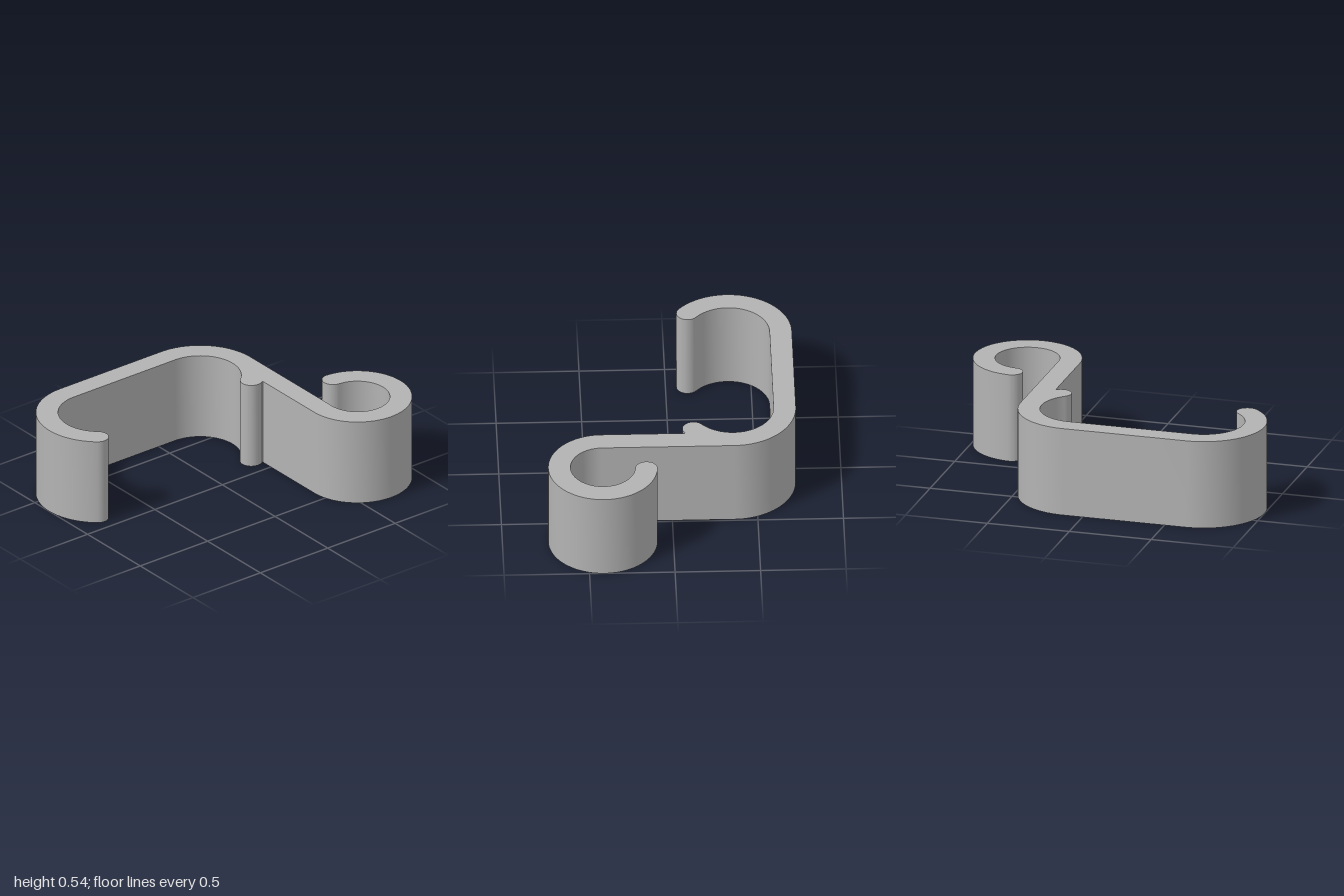
import * as THREE from 'three';
import { toCreasedNormals } from 'three/addons/utils/BufferGeometryUtils.js';

const HEIGHT = 0.535;
const WALL = 0.13;
const END = 50.3; // how far past horizontal the clip arms curl, in degrees
const TIP = 86; // where the hook stops, in degrees

// Corner centres and radii of the strip, in plan (second value points to the back)
const leftBend = { x: -0.63, y: 0.363, outer: 0.37 };
const rightBend = { x: 0.12, y: 0.363, outer: 0.37 };
const hook = { x: 0.68, y: -0.412, outer: 0.32 };

function clipOutline() {
  const points = [];
  const add = (x, y) => {
    const p = new THREE.Vector2(x, y);
    if (!points.length || points[points.length - 1].distanceTo(p) > 0.002) points.push(p);
  };
  const arc = (c, radius, from, to) => {
    const steps = Math.max(12, Math.ceil(Math.abs(to - from) / 4));
    for (let i = 0; i <= steps; i++) {
      const a = THREE.MathUtils.degToRad(from + ((to - from) * i) / steps);
      add(c.x + radius * Math.cos(a), c.y + radius * Math.sin(a));
    }
  };
  // Round end of the strip at a given angle of a bend
  const cap = (bend, angle, from, to) => {
    const a = THREE.MathUtils.degToRad(angle);
    const mid = bend.outer - WALL / 2;
    arc({ x: bend.x + mid * Math.cos(a), y: bend.y + mid * Math.sin(a) }, WALL / 2, from, to);
  };

  // Outer side of the clip, then down the long wall
  arc(leftBend, leftBend.outer, 180 + END, 90);
  arc(rightBend, rightBend.outer, 90, 0);
  // Hook: inside, round tip, outside
  arc(hook, hook.outer - WALL, 180, 360 + TIP);
  cap(hook, TIP, 180 + TIP, TIP);
  arc(hook, hook.outer, 360 + TIP, 180);
  // Back up the wall to the small gripping lip
  add(0.36, 0.074);
  cap(rightBend, -END, -END, -END - 180);
  // Inner side of the clip and its round free end
  arc(rightBend, rightBend.outer - WALL, -END, 90);
  arc(leftBend, leftBend.outer - WALL, 90, 180 + END);
  cap(leftBend, 180 + END, 360 + END, 180 + END);

  if (points[0].distanceTo(points[points.length - 1]) < 0.002) points.pop();
  return new THREE.Shape(points);
}

export function createModel() {
  const group = new THREE.Group();
  group.name = 'clipWithHook';

  const grey = new THREE.MeshStandardMaterial({ color: 0xb3b3b3 });
  grey.name = 'grey';

  // One continuous strip, extruded upward
  const extruded = new THREE.ExtrudeGeometry(clipOutline(), { depth: HEIGHT, bevelEnabled: false });
  extruded.rotateX(-Math.PI / 2);
  const geometry = toCreasedNormals(extruded, THREE.MathUtils.degToRad(30));
  geometry.clearGroups();

  const clip = new THREE.Mesh(geometry, grey);
  clip.name = 'clipBody';
  group.add(clip);
  return group;
}
